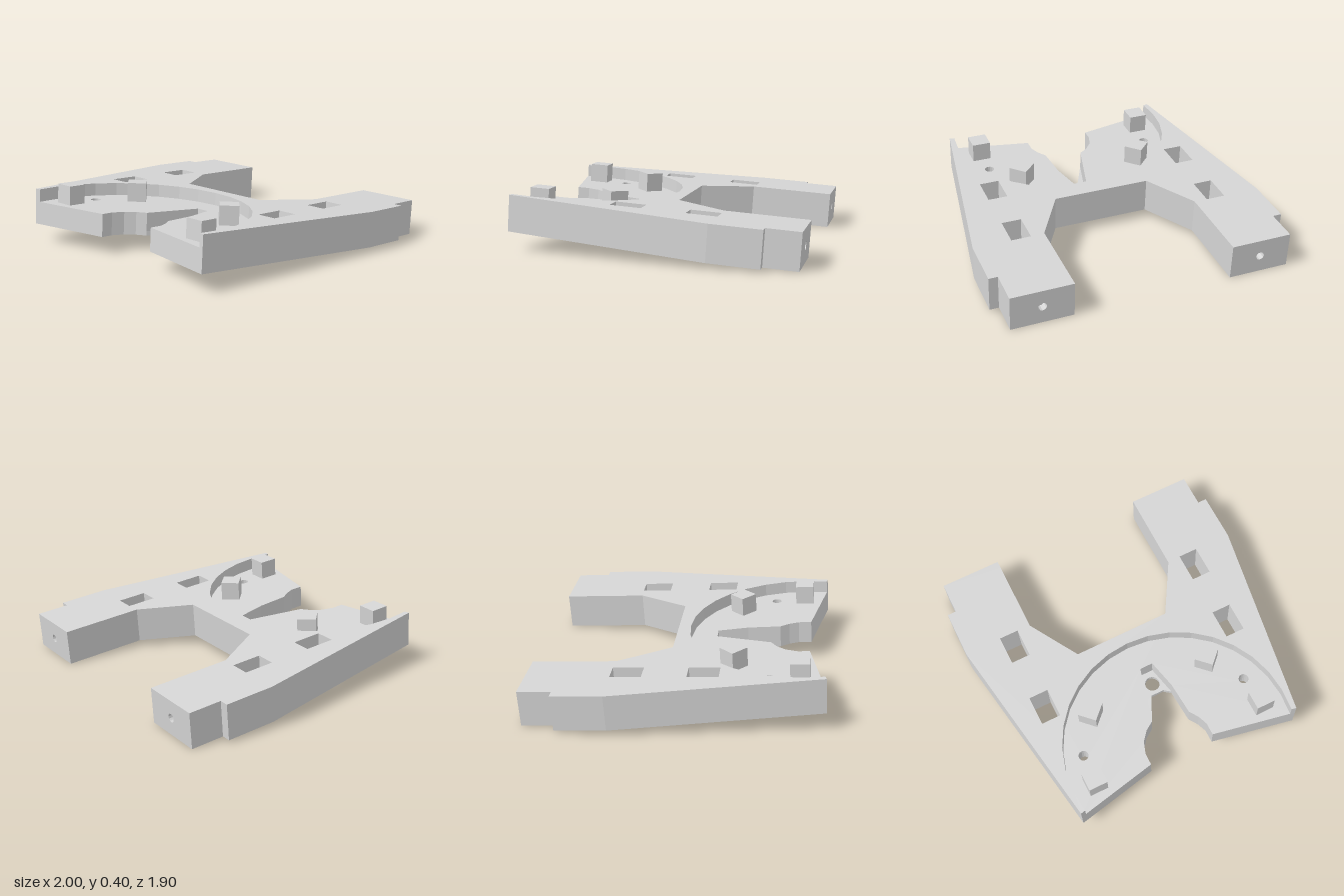
import * as THREE from 'three';

const T = 0.237, LEDGE = 0.03, FLOOR = 0.152; // slab thickness, ledge top, recess floor

// Outer edge of the +x half, from the back bridge round to the front corner
const OUTER = [
  [0.33, -0.06], [0.53, -0.4], [0.53, -0.9], [0.94, -0.9], [0.94, -0.73],
  [1, -0.73], [1, -0.4], [0.78, 0.937],
];
// Two sides of the front notch, running from +x to -x
const NOTCH_IN = [[0.225, 0.825], [0.225, 0.74], [0.2, 0.675], [0.16, 0.615], [0.145, 0.395]];
const NOTCH_OUT = [[-0.09, 0.565], [-0.15, 0.605], [-0.2, 0.665], [-0.228, 0.745], [-0.228, 0.825]];

// Closed counter-clockwise path through (x, z) points
function toPath(pts, Type) {
  const v = pts.map(([x, z]) => new THREE.Vector2(x, -z));
  if (THREE.ShapeUtils.isClockWise(v)) v.reverse();
  return new Type(v);
}

const rect = (x, z, w, d) => toPath(
  [[x - w / 2, z - d / 2], [x + w / 2, z - d / 2], [x + w / 2, z + d / 2], [x - w / 2, z + d / 2]], THREE.Path);

function circle(x, z, r, n = 16) {
  const pts = [];
  for (let i = 0; i < n; i++) {
    const a = (i / n) * Math.PI * 2;
    pts.push([x + r * Math.cos(a), z + r * Math.sin(a)]);
  }
  return toPath(pts, THREE.Path);
}

export function createModel() {
  const material = new THREE.MeshStandardMaterial({ color: 0xd5d5d5 });
  material.name = 'light grey';

  const bracket = new THREE.Group();
  bracket.name = 'tiltedBracket';

  function add(geometry, name) {
    const mesh = new THREE.Mesh(geometry, material);
    mesh.name = name;
    bracket.add(mesh);
    return mesh;
  }

  // One horizontal layer of the slab between heights y0 and y1
  function layer(name, front, holes, y0, y1) {
    const mirrored = OUTER.map(([x, z]) => [-x, z]).reverse();
    const shape = toPath([...OUTER, ...front, ...mirrored], THREE.Shape);
    shape.holes = holes;
    const g = new THREE.ExtrudeGeometry(shape, { depth: y1 - y0, bevelEnabled: false });
    g.rotateX(-Math.PI / 2);
    g.translate(0, y0, 0);
    add(g, name);
  }

  // Square windows through both arms
  const windows = () => [-1, 1].flatMap((s) =>
    [-0.305, 0.18].map((z) => rect(s * 0.685, z, 0.13, 0.2)));
  const pair = (x, z, r) => [-1, 1].map((s) => circle(s * x, z, r));

  // Bottom layer with the thin ledge, counterbores and small blind holes
  layer('basePlate',
    [...NOTCH_IN, [0.1, 0.36], [0.01, 0.36], ...NOTCH_OUT],
    [...windows(), ...pair(0.595, 0.567, 0.053), ...pair(0.607, -0.15, 0.013), circle(0.055, 0.285, 0.05)],
    0, LEDGE);

  // Middle layer up to the recess floor, with the full notch
  layer('middleSlab',
    [...NOTCH_IN, [0.1, 0.195], [0.01, 0.195], ...NOTCH_OUT],
    [...windows(), ...pair(0.595, 0.573, 0.033)],
    LEDGE, FLOOR);

  // Top layer with the round recess, open to the front
  const arc = [[0.748, 0.93]];
  for (let i = 0; i <= 16; i++) {
    const a = Math.PI / 2 - (i / 16) * Math.PI;
    arc.push([0.76 * Math.sin(a), 0.78 - 0.76 * Math.cos(a)]);
  }
  arc.push([-0.748, 0.93]);
  layer('recessRim', arc, windows(), FLOOR, T);

  for (const s of [-1, 1]) {
    // Arm ends with a blind screw hole in the back face
    const end = toPath([[s * 0.53, 0], [s * 0.94, 0], [s * 0.94, -T], [s * 0.53, -T]], THREE.Shape);
    end.holes.push(circle(s * 0.735, -T / 2, 0.028, 12));
    const endGeometry = new THREE.ExtrudeGeometry(end, { depth: 0.05, bevelEnabled: false });
    endGeometry.translate(0, 0, -0.95);
    add(endGeometry, 'armEnd');

    // Square pegs standing on the recess floor
    const h = T + 0.043 - FLOOR;
    add(new THREE.BoxGeometry(0.125, h, 0.125), 'frontPeg')
      .position.set(s * 0.607, FLOOR + h / 2, 0.776);
    const peg = add(new THREE.BoxGeometry(0.125, h, 0.125), 'rearPeg');
    peg.position.set(s * 0.43, FLOOR + h / 2, 0.346);
    peg.rotation.y = Math.PI / 4;
  }

  // Tilt the whole slab so its front is raised
  bracket.position.set(0, -T / 2, 0.008);
  const tilt = new THREE.Group();
  tilt.name = 'tilt';
  tilt.add(bracket);
  tilt.rotation.x = -0.066;
  tilt.position.y = 0.181;

  const model = new THREE.Group();
  model.name = 'forkedBracket';
  model.add(tilt);
  return model;
}
